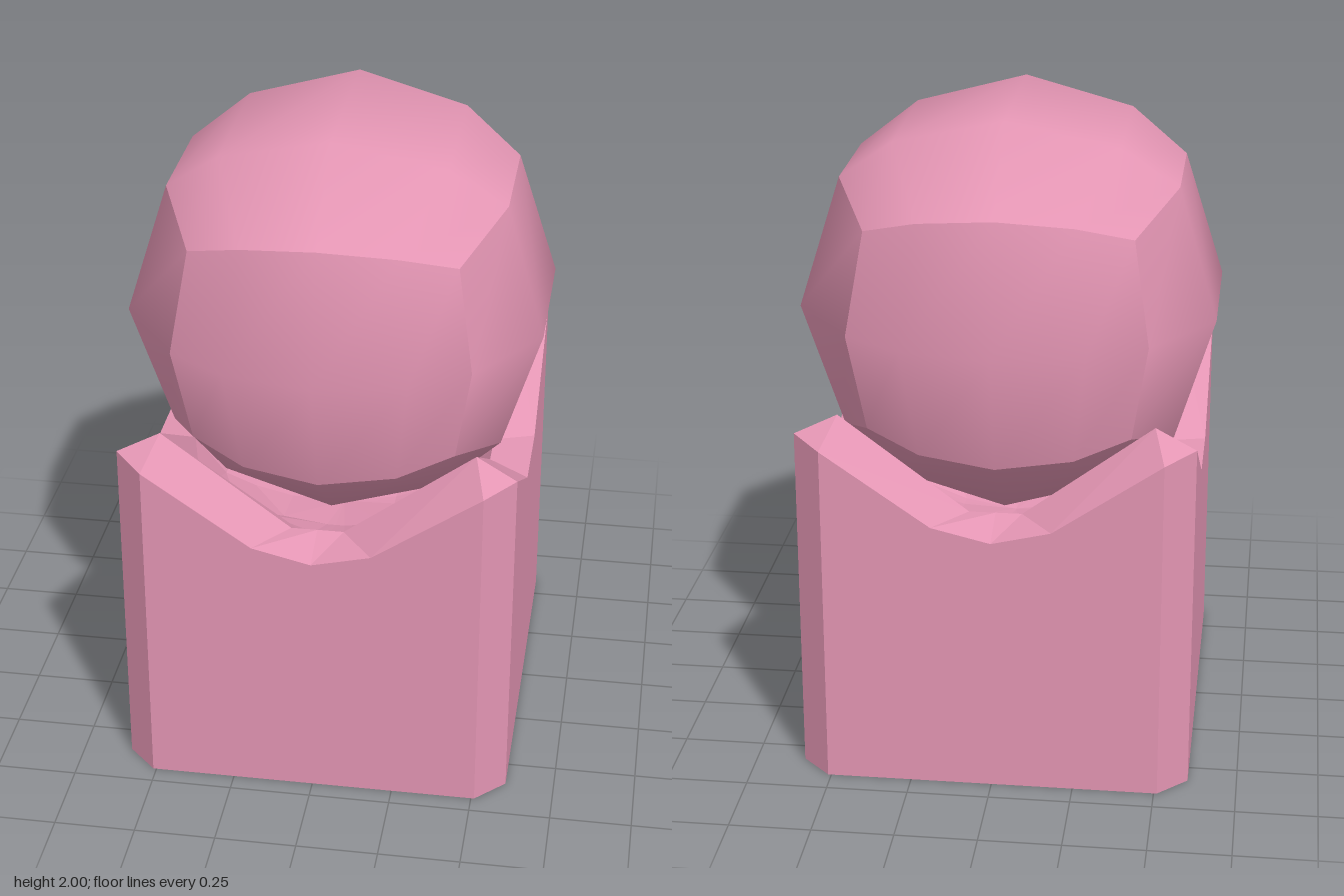
import * as THREE from 'three';

const PINK = 0xe395b3;

// Skin a chain of equal-length rings with flat-shaded quads, skipping empty triangles
function skinRings(rings) {
  const out = [];
  const tri = (a, b, c) => {
    const n = b.clone().sub(a).cross(c.clone().sub(a));
    if (n.length() > 1e-7) for (const p of [a, b, c]) out.push(p.x, p.y, p.z);
  };
  for (let r = 0; r + 1 < rings.length; r++) {
    const A = rings[r], B = rings[r + 1];
    for (let i = 0; i < A.length; i++) {
      const j = (i + 1) % A.length;
      tri(A[i], A[j], B[j]);
      tri(A[i], B[j], B[i]);
    }
  }
  const g = new THREE.BufferGeometry();
  g.setAttribute('position', new THREE.Float32BufferAttribute(out, 3));
  g.computeVertexNormals();
  return g;
}

// Two walls (front and side), each [along, height], repeated by a half turn
function wallRing(front, zFront, side, xSide) {
  const half = [
    ...front.map(([x, y]) => new THREE.Vector3(x, y, zFront)),
    ...side.map(([z, y]) => new THREE.Vector3(xSide, y, -z)),
  ];
  return [...half, ...half.map((p) => new THREE.Vector3(-p.x, p.y, -p.z))];
}

// Symmetric notch profile from end, low point and middle
const notch = (end, yEnd, low, yLow, yMid) =>
  [[-end, yEnd], [-low, yLow], [0, yMid], [low, yLow], [end, yEnd]];

export function createModel() {
  const group = new THREE.Group();
  const add = (name, geometry, flatShading) => {
    const material = new THREE.MeshStandardMaterial({ color: PINK, flatShading });
    const mesh = new THREE.Mesh(geometry, material);
    mesh.name = name;
    group.add(mesh);
    return mesh;
  };

  // Pedestal: chamfered block, notched sloping rim and a round socket
  const outer = wallRing(notch(0.51, 1.08, 0.18, 0.853, 0.81), 0.68,
    notch(0.59, 1.1, 0.135, 0.85, 0.85), 0.6);
  const inner = wallRing(notch(0.475, 1.15, 0.08, 0.855, 0.855), 0.55,
    notch(0.55, 1.15, 0.065, 0.865, 0.865), 0.475);
  const base = outer.map((p) => new THREE.Vector3(p.x, 0, p.z));
  const baseCentre = base.map(() => new THREE.Vector3());
  const socket = [0.8, 0.6, 0.35, 0].map((t) => inner.map((p) => {
    const x = p.x * t, z = p.z * t;
    return new THREE.Vector3(x, 1.39 - Math.sqrt(0.76 ** 2 - x * x - z * z), z);
  }));
  const pedestal = add('pedestal', skinRings([baseCentre, base, outer, inner, ...socket]), true);
  pedestal.position.z = 0.01;

  // Ball: a box pushed out to a sphere, smooth within each of its six sides
  const ballGeometry = new THREE.BoxGeometry(0.8, 0.62, 0.91, 4, 2, 3);
  const pos = ballGeometry.attributes.position;
  const v = new THREE.Vector3();
  for (let i = 0; i < pos.count; i++) {
    v.fromBufferAttribute(pos, i).setLength(0.68);
    pos.setXYZ(i, v.x, v.y, v.z);
  }
  ballGeometry.computeVertexNormals();
  add('ball', ballGeometry, false).position.set(0, 1.39, -0.01);

  return group;
}
